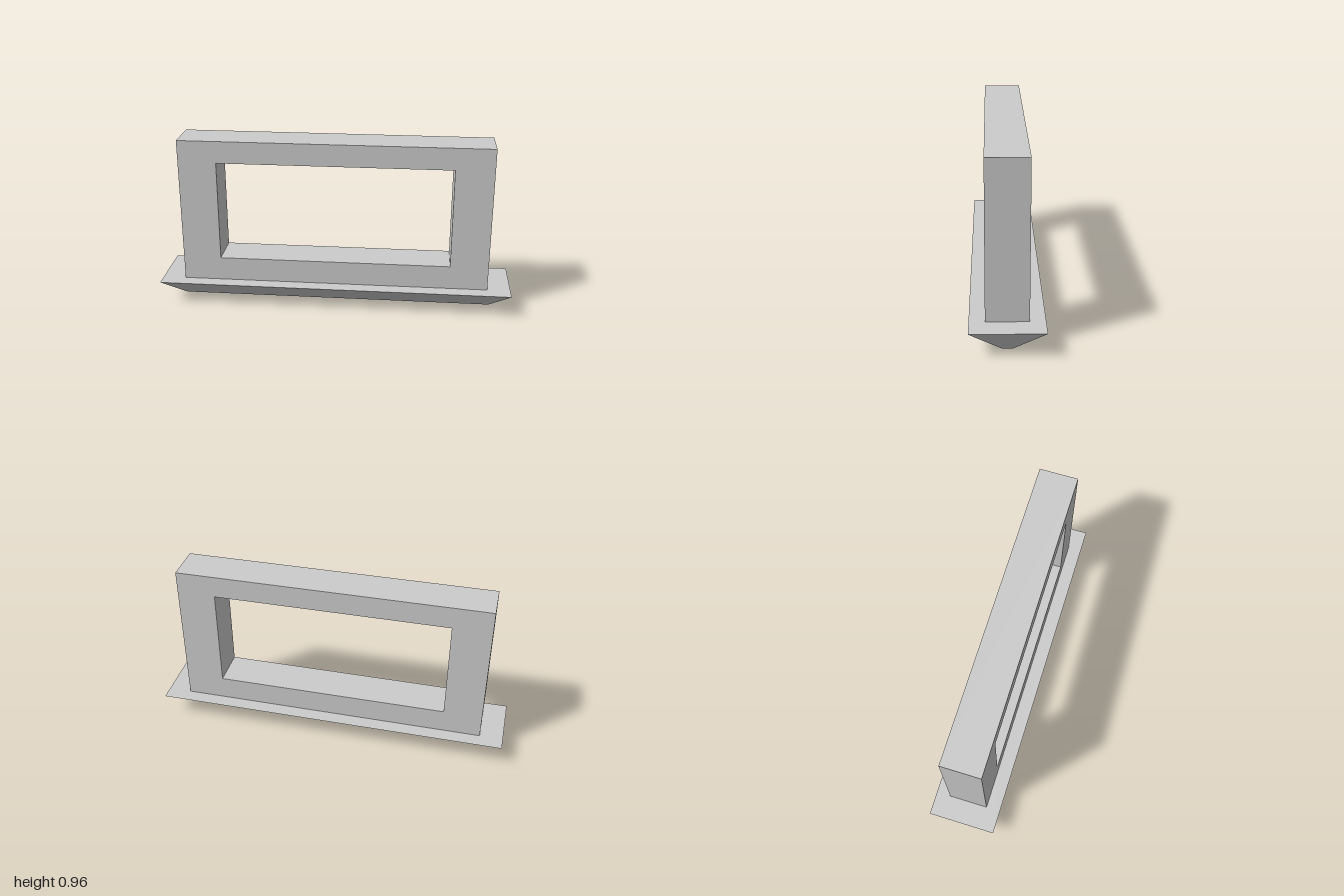
import * as THREE from 'three';

const BASE_H = 0.135;

// Rectangular outline centred on x = 0
function rectangle(PathType, halfWidth, bottom, top) {
  return new PathType([
    new THREE.Vector2(-halfWidth, bottom),
    new THREE.Vector2(halfWidth, bottom),
    new THREE.Vector2(halfWidth, top),
    new THREE.Vector2(-halfWidth, top),
  ]);
}

export function createModel() {
  const group = new THREE.Group();
  const material = new THREE.MeshStandardMaterial({ color: 0xcccccc, flatShading: true });

  // Upright frame with a rectangular opening
  const outline = rectangle(THREE.Shape, 0.87, BASE_H, 0.965);
  outline.holes.push(rectangle(THREE.Path, 0.655, 0.27, 0.84));
  const frameGeometry = new THREE.ExtrudeGeometry(outline, { depth: 0.22, bevelEnabled: false });
  frameGeometry.translate(0, 0, -0.11);
  const frame = new THREE.Mesh(frameGeometry, material);
  frame.name = 'frame';
  group.add(frame);

  // Base plinth: a box whose underside tapers to a narrow strip
  const baseGeometry = new THREE.BoxGeometry(2, BASE_H, 0.38);
  baseGeometry.translate(0, BASE_H / 2, 0);
  const position = baseGeometry.attributes.position;
  for (let i = 0; i < position.count; i++) {
    if (position.getY(i) < BASE_H / 2) {
      position.setX(i, Math.sign(position.getX(i)) * 0.89);
      position.setZ(i, Math.sign(position.getZ(i)) * 0.026);
    }
  }
  baseGeometry.computeVertexNormals();
  const base = new THREE.Mesh(baseGeometry, material);
  base.name = 'taperedBase';
  group.add(base);

  return group;
}
